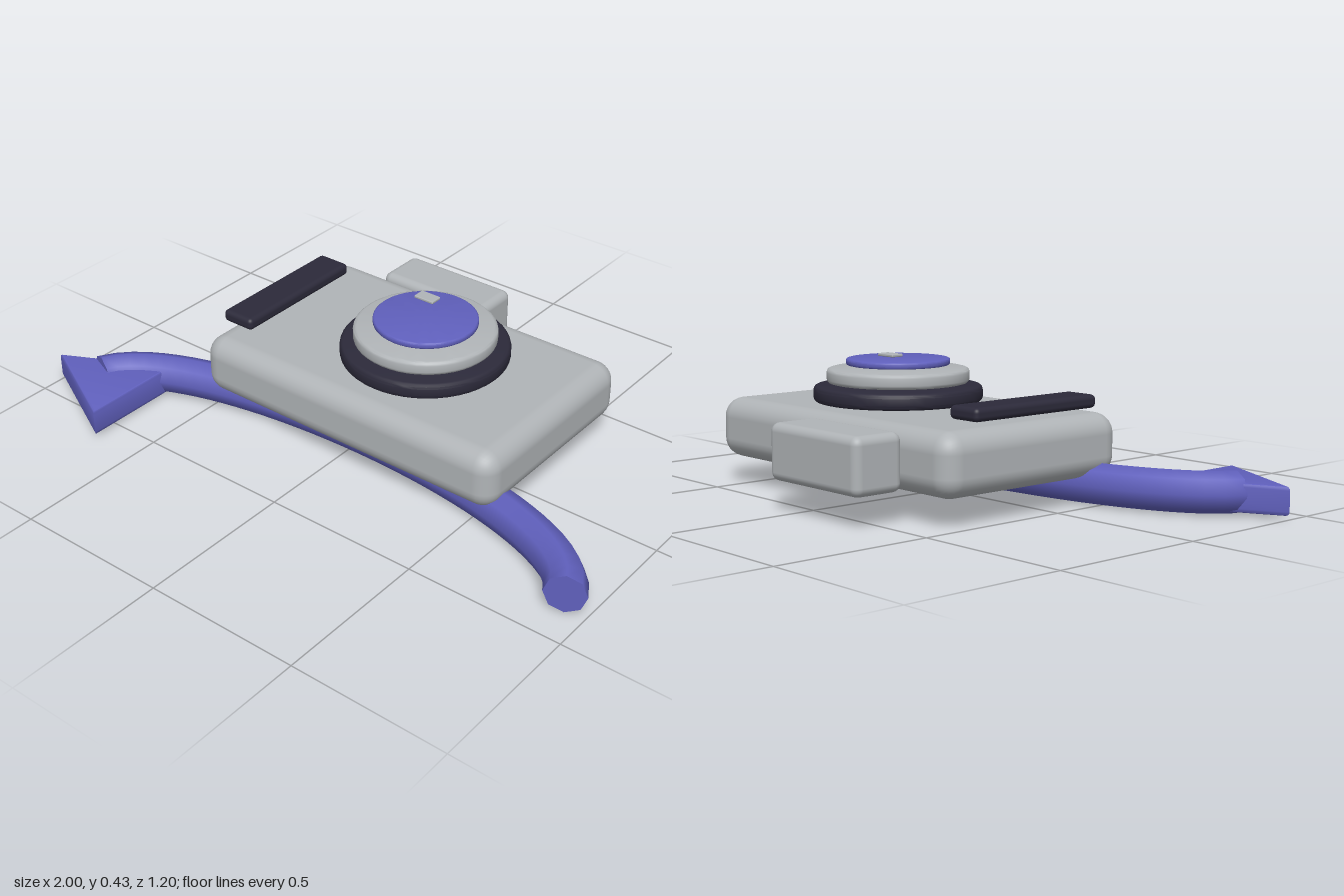
import * as THREE from 'three';
import { toCreasedNormals } from 'three/addons/utils/BufferGeometryUtils.js';
import { RoundedBoxGeometry } from 'three/addons/geometries/RoundedBoxGeometry.js';

const material = (name, color) => {
  const m = new THREE.MeshStandardMaterial({ color });
  m.name = name;
  return m;
};

export function createModel() {
  const grey = material('light grey', 0xb0b4b7);
  const dark = material('charcoal', 0x2c2a3a);
  const blue = material('violet blue', 0x6060bd);

  const model = new THREE.Group();
  model.name = 'cameraWithStrap';

  const add = (name, geometry, mat) => {
    const mesh = new THREE.Mesh(geometry, mat);
    mesh.name = name;
    model.add(mesh);
    return mesh;
  };

  // Rounded box given by its extents on each axis
  const block = (name, [x0, x1], [y0, y1], [z0, z1], radius, mat) =>
    add(name, new RoundedBoxGeometry(x1 - x0, y1 - y0, z1 - z0, 4, radius), mat)
      .position.set((x0 + x1) / 2, (y0 + y1) / 2, (z0 + z1) / 2);

  // Disc with rounded rims, on the lens axis
  const disc = (name, radius, y0, y1, bevel, mat) => {
    const profile = [new THREE.Vector2(0, y0)];
    for (const [cy, start] of [[y0 + bevel, -Math.PI / 2], [y1 - bevel, 0]]) {
      for (let i = 0; i <= 3; i++) {
        const a = start + (i / 3) * Math.PI / 2;
        profile.push(new THREE.Vector2(radius - bevel + bevel * Math.cos(a), cy + bevel * Math.sin(a)));
      }
    }
    profile.push(new THREE.Vector2(0, y1));
    const geometry = toCreasedNormals(new THREE.LatheGeometry(profile, 48), 0.6);
    add(name, geometry, mat).position.set(0.113, 0, -0.083);
  };

  // Body, viewfinder and grip
  block('body', [-0.5, 0.6], [0.08, 0.27], [-0.425, 0.265], 0.062, grey);
  block('viewfinder', [-0.325, 0.08], [0.09, 0.26], [-0.6, -0.43], 0.026, grey);
  block('grip', [-0.49, -0.375], [0.29, 0.33], [-0.31, 0.17], 0.015, dark);

  // Stacked lens
  disc('lensOuterRing', 0.262, 0.276, 0.326, 0.014, dark);
  disc('lensInnerRing', 0.221, 0.333, 0.378, 0.012, grey);
  disc('lensGlass', 0.161, 0.388, 0.408, 0.006, blue);
  block('lensGlint', [0.03, 0.1], [0.421, 0.43], [-0.175, -0.133], 0.003, grey);

  // Curved strap with closed ends
  const curve = new THREE.CubicBezierCurve3(
    new THREE.Vector3(-0.838, 0.0625, 0.387),
    new THREE.Vector3(-0.695, 0.0625, 0.042),
    new THREE.Vector3(0.795, 0.0625, 0.042),
    new THREE.Vector3(0.938, 0.0625, 0.387));
  add('strap', new THREE.TubeGeometry(curve, 40, 0.0625, 8, false), blue);
  for (const t of [0, 1]) {
    const cap = add('strapEnd', new THREE.CircleGeometry(0.0625, 8), blue);
    const out = curve.getTangent(t).multiplyScalar(t ? 1 : -1);
    cap.position.copy(curve.getPoint(t));
    cap.lookAt(cap.position.clone().add(out));
  }

  // Arrow-shaped strap tip
  const triangle = new THREE.Shape([
    new THREE.Vector2(-1.0, 0.42),
    new THREE.Vector2(-0.658, 0.245),
    new THREE.Vector2(-0.658, 0.595),
  ]);
  const tip = new THREE.ExtrudeGeometry(triangle, {
    depth: 0.061, bevelThickness: 0.012, bevelSize: 0.01, bevelOffset: -0.01, bevelSegments: 3,
  });
  tip.rotateX(Math.PI / 2);
  tip.translate(0, 0.083, 0);
  add('strapTip', toCreasedNormals(tip, 0.6), blue);

  return model;
}
